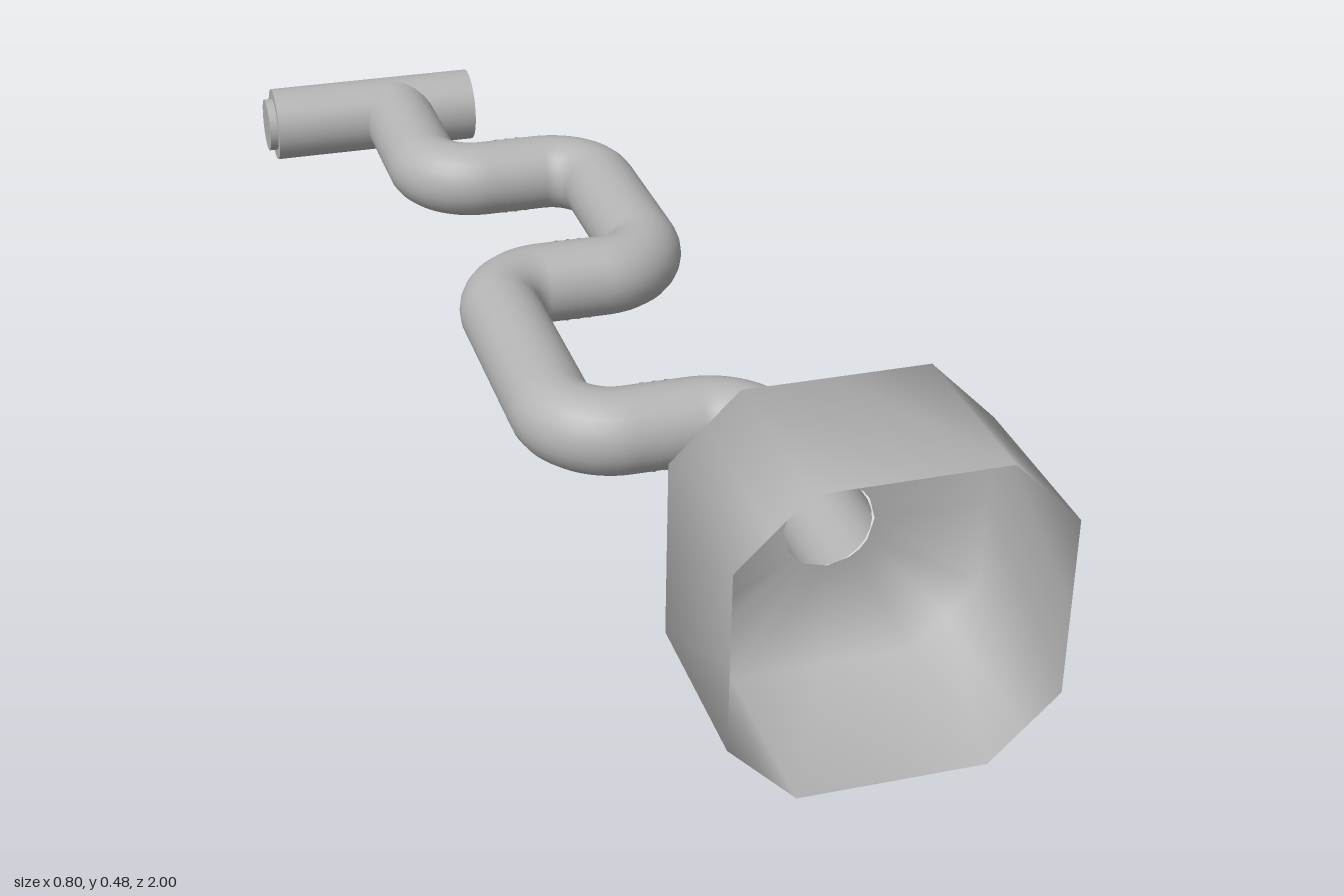
import * as THREE from 'three';

const Y = 0.243, R = 0.069, BEND = 0.095;
const XR = 0.154, XL = -0.142;

// Straight runs joined by round elbows at every corner
function elbowPath(points) {
  const path = new THREE.CurvePath();
  let start = points[0];
  for (let i = 1; i < points.length - 1; i++) {
    const c = points[i];
    const back = points[i - 1].clone().sub(c).normalize();
    const on = points[i + 1].clone().sub(c).normalize();
    const at = (dir, d) => c.clone().addScaledVector(dir, d);
    const a = at(back, BEND), b = at(on, BEND), k = BEND * (1 - 0.5523);
    path.add(new THREE.LineCurve3(start, a));
    path.add(new THREE.CubicBezierCurve3(a, at(back, k), at(on, k), b));
    start = b;
  }
  path.add(new THREE.LineCurve3(start, points[points.length - 1]));
  return path;
}

// Octagonal box open at the front, with a round hole in its back plate
function hornGeometry() {
  const cx = 0.157, h = 0.242, c = 0.14, m = (h + c) / 2;
  const quarter = [[h, 0], [h, c], [m, m], [c, h]];
  const octagon = [];
  for (let q = 0; q < 4; q++) {
    for (const [x, y] of quarter) {
      octagon.push([[x, y], [-y, x], [-x, -y], [y, -x]][q]);
    }
  }
  const hole = octagon.map(([x, y]) => {
    const l = Math.hypot(x, y);
    return [x / l * R, y / l * R];
  });
  const n = octagon.length, pos = [], index = [];
  for (const [ring, z] of [[hole, 0.72], [octagon, 0.72], [octagon, 1]]) {
    for (const [x, y] of ring) pos.push(cx + x, Y + y, z);
  }
  for (let r = 0; r < 2; r++) {
    for (let i = 0; i < n; i++) {
      const a = r * n + i, b = r * n + (i + 1) % n;
      index.push(a, b, a + n, b, b + n, a + n);
    }
  }
  const g = new THREE.BufferGeometry();
  g.setAttribute('position', new THREE.Float32BufferAttribute(pos, 3));
  g.setIndex(index);
  g.computeVertexNormals();
  return g;
}

export function createModel() {
  const group = new THREE.Group();
  const metal = new THREE.MeshStandardMaterial({ color: 0xb4b4b4, side: THREE.DoubleSide });
  metal.name = 'grey metal';
  const add = (name, geometry, x = 0, y = 0, z = 0) => {
    const mesh = new THREE.Mesh(geometry, metal);
    mesh.name = name;
    mesh.position.set(x, y, z);
    group.add(mesh);
    return mesh;
  };

  add('horn', hornGeometry());

  // Winding pipe
  const corners = [
    [XR, 0.72], [XR, 0.388], [XL, 0.388], [XL, -0.125],
    [XR, -0.125], [XR, -0.573], [XL, -0.573], [XL, -0.93],
  ].map(([x, z]) => new THREE.Vector3(x, Y, z));
  add('pipe', new THREE.TubeGeometry(elbowPath(corners), 260, R - 0.001, 24));

  // Thin seam rings, three at each joint
  const joints = [[0.006, 0.388, true], [0.006, -0.125, true], [0.006, -0.573, true], [XL, -0.754, false]];
  for (const [x, z, across] of joints) {
    for (const d of [-0.02, 0, 0.02]) {
      const ring = add('seamRing', new THREE.CylinderGeometry(R, R, 0.005, 24, 1, true),
        x + (across ? d : 0), Y, z + (across ? 0 : d));
      if (across) ring.rotation.z = Math.PI / 2;
      else ring.rotation.x = Math.PI / 2;
    }
  }

  // Cross tube at the back with its narrower end
  const tube = add('mouthTube', new THREE.CylinderGeometry(R, R, 0.39, 32), -0.19, Y, -0.931);
  const stub = add('mouthStub', new THREE.CylinderGeometry(0.05, 0.05, 0.03, 32), -0.385, Y, -0.931);
  tube.rotation.z = stub.rotation.z = Math.PI / 2;

  return group;
}
